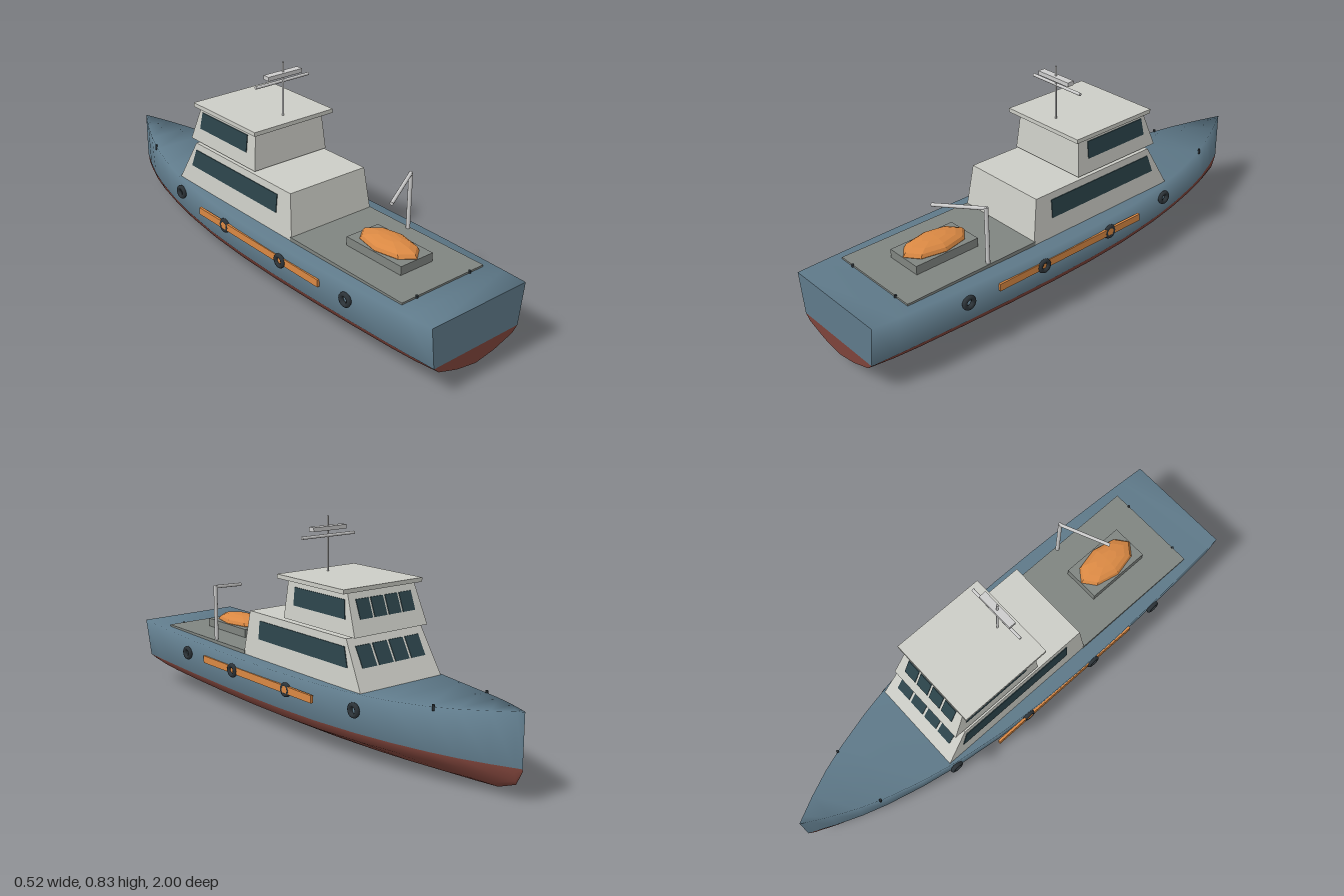
import * as THREE from 'three';

const paint = (color, extra = {}) => new THREE.MeshStandardMaterial({ color, ...extra });
const BLUE = paint(0x5f7a8a), RED = paint(0x7d433a), HOUSE = paint(0xcccdc6), GLASS = paint(0x2c444b);
const DECK = paint(0x7f8480), ORANGE = paint(0xd98843, { flatShading: true });
const RUBBER = paint(0x2c3338), METAL = paint(0xcccccc);
const WATERLINE = 0.12;

// Hull stations, bow to stern: z, half beam, sheer height, keel height
const STATIONS = [
  [-1, 0.001, 0.31, 0.112], [-0.975, 0.014, 0.308, 0.06], [-0.9, 0.053, 0.3, 0.03], [-0.8, 0.098, 0.29, 0.021],
  [-0.7, 0.134, 0.281, 0.015], [-0.55, 0.176, 0.273, 0.01], [-0.4, 0.208, 0.27, 0.006],
  [-0.2, 0.236, 0.269, 0.002], [0, 0.249, 0.269, 0], [0.2, 0.253, 0.269, 0.002],
  [0.4, 0.251, 0.27, 0.006], [0.6, 0.245, 0.273, 0.012], [0.8, 0.236, 0.276, 0.02],
  [0.9, 0.23, 0.278, 0.03], [1, 0.223, 0.28, 0.055],
];

// Cross-section from the +x sheer, round the keel, to the -x sheer
function section([z, w, h, k]) {
  const d = WATERLINE - k;
  const half = [[w, h], [0.91 * w, WATERLINE], [0.8 * w, k + 0.66 * d], [0.4 * w, k + 0.22 * d]];
  const mirrored = half.map(([x, y]) => [-x, y]).reverse();
  return [...half, [0, k], ...mirrored].map(([x, y]) => new THREE.Vector3(x, y, z));
}

function add(parent, name, geometry, material) {
  const mesh = new THREE.Mesh(geometry, material);
  mesh.name = name;
  parent.add(mesh);
  return mesh;
}

// Box whose bottom and top have their own x and z ranges
function block(parent, name, material, [y0, y1], xBottom, zBottom, xTop = xBottom, zTop = zBottom) {
  const g = new THREE.BoxGeometry(1, 1, 1), p = g.attributes.position;
  for (let i = 0; i < p.count; i++) {
    const top = p.getY(i) > 0;
    const xs = top ? xTop : xBottom, zs = top ? zTop : zBottom;
    p.setXYZ(i, xs[p.getX(i) > 0 ? 1 : 0], top ? y1 : y0, zs[p.getZ(i) > 0 ? 1 : 0]);
  }
  g.computeVertexNormals();
  return add(parent, name, g, material);
}

// Round bar between two points
function rod(parent, name, material, from, to, radius) {
  const a = new THREE.Vector3(...from), b = new THREE.Vector3(...to);
  const mesh = add(parent, name, new THREE.CylinderGeometry(radius, radius, a.distanceTo(b), 10), material);
  mesh.position.copy(a).lerp(b, 0.5);
  mesh.quaternion.setFromUnitVectors(new THREE.Vector3(0, 1, 0), b.sub(a).normalize());
  return mesh;
}

function buildHull(parent) {
  const rings = STATIONS.map(section), n = rings[0].length;
  const upper = [], lower = [];
  for (let j = 0; j < rings.length - 1; j++) {
    for (let i = 0; i < n; i++) {
      const a = j * n + i, b = j * n + (i + 1) % n, c = a + n, d = b + n;
      (i >= 1 && i <= 6 ? lower : upper).push(a, c, b, b, c, d);
    }
  }
  // One set of normals shared by the deck, topsides and bottom
  const shell = new THREE.BufferGeometry().setFromPoints(rings.flat());
  shell.setIndex([...upper, ...lower]);
  shell.computeVertexNormals();
  const skin = (index) => shell.clone().setIndex(index);
  add(parent, 'hullTopsides', skin(upper), BLUE);
  add(parent, 'hullBottom', skin(lower), RED);

  // Flat transom in the two hull colours
  const end = rings[rings.length - 1];
  const plate = (name, points, material) => {
    const shape = new THREE.Shape(points.map((p) => new THREE.Vector2(p.x, p.y)));
    add(parent, name, new THREE.ShapeGeometry(shape), material).position.z = 1;
  };
  plate('transomUpper', [end[0], end[1], end[7], end[8]], BLUE);
  plate('transomLower', end.slice(1, 8), RED);
}

// Deckhouse tier with raked ends, side windows and four front panes
function buildTier(parent, name, t) {
  const tier = new THREE.Group();
  tier.name = name;
  parent.add(tier);
  const [[y0, y1], [w0, w1]] = [t.y, t.halfWidth];
  block(tier, name + 'Walls', HOUSE, t.y, [-w0, w0], t.zBottom, [-w1, w1], t.zTop);
  const mix = (a, b, y) => a + (b - a) * (y - y0) / (y1 - y0);
  const wall = (y) => mix(w0, w1, y), front = (y) => mix(t.zBottom[0], t.zTop[0], y);
  const [lo, hi] = t.windowY, out = 0.003;
  for (const s of [-1, 1]) {
    const across = (y) => [s * wall(y) - out, s * wall(y) + out];
    block(tier, 'sideWindow', GLASS, t.windowY, across(lo), [front(lo) + 0.036, t.windowAft],
      across(hi), [front(hi) + 0.02, t.windowAft]);
  }
  const along = (y) => [front(y) - out, front(y) + out];
  const pitch = t.paneSpan / 4;
  for (let i = 0; i < 4; i++) {
    const x = (i - 1.5) * pitch;
    block(tier, 'frontWindow', GLASS, t.windowY, [x - pitch * 0.43, x + pitch * 0.43], along(lo),
      [x - pitch * 0.43, x + pitch * 0.43], along(hi));
  }
}

export function createModel() {
  const boat = new THREE.Group();
  boat.name = 'patrolBoat';
  buildHull(boat);

  // Deckhouse
  buildTier(boat, 'lowerHouse', {
    y: [0.262, 0.445], halfWidth: [0.194, 0.178], zBottom: [-0.436, 0.277], zTop: [-0.335, 0.25],
    windowY: [0.345, 0.417], windowAft: 0.18, paneSpan: 0.31,
  });
  buildTier(boat, 'wheelhouse', {
    y: [0.453, 0.604], halfWidth: [0.173, 0.158], zBottom: [-0.375, 0.036], zTop: [-0.317, 0.024],
    windowY: [0.51, 0.578], windowAft: -0.02, paneSpan: 0.27,
  });
  block(boat, 'roof', HOUSE, [0.603, 0.619], [-0.187, 0.187], [-0.33, 0.057]);

  // Mast with aerial bar and radar scanner
  rod(boat, 'mast', METAL, [0, 0.61, -0.012], [0, 0.829, -0.012], 0.004);
  rod(boat, 'aerialBar', METAL, [-0.125, 0.755, -0.016], [0.125, 0.755, -0.016], 0.006);
  block(boat, 'radarScanner', METAL, [0.775, 0.791], [-0.079, 0.079], [-0.027, 0.003]);

  // Work deck, raft cradle and life raft
  block(boat, 'workDeck', DECK, [0.262, 0.284], [-0.195, 0.195], [0.27, 0.838]);
  block(boat, 'raftCradle', DECK, [0.28, 0.318], [-0.076, 0.076], [0.44, 0.712]);
  const raft = add(boat, 'lifeRaft', new THREE.SphereGeometry(1, 8, 8), ORANGE);
  raft.scale.set(0.072, 0.034, 0.136);
  raft.position.set(0, 0.32, 0.576);

  // Davit
  rod(boat, 'davitPost', METAL, [0.185, 0.275, 0.485], [0.185, 0.508, 0.485], 0.008);
  rod(boat, 'davitArm', METAL, [0.188, 0.505, 0.483], [0, 0.478, 0.578], 0.007);

  for (const s of [-1, 1]) {
    // Rubbing strake
    block(boat, 'sideStripe', ORANGE, [0.197, 0.226], [s * 0.245 - 0.005, s * 0.245 + 0.005], [-0.225, 0.485]);
    // Tyre fenders
    for (const [z, x] of [[0.62, 0.243], [0.277, 0.25], [-0.065, 0.243], [-0.412, 0.208]]) {
      const tyre = add(boat, 'tyreFender', new THREE.TorusGeometry(0.02, 0.009, 8, 16), RUBBER);
      tyre.position.set(s * x, 0.21, z);
      tyre.rotation.y = Math.PI / 2;
    }
    // Mooring bollards
    for (const [z, y] of [[-0.72, 0.28], [0.838, 0.276]]) {
      rod(boat, 'bollard', RUBBER, [s * 0.127, y - 0.01, z], [s * 0.127, y + 0.011, z], 0.005);
    }
  }
  return boat;
}
